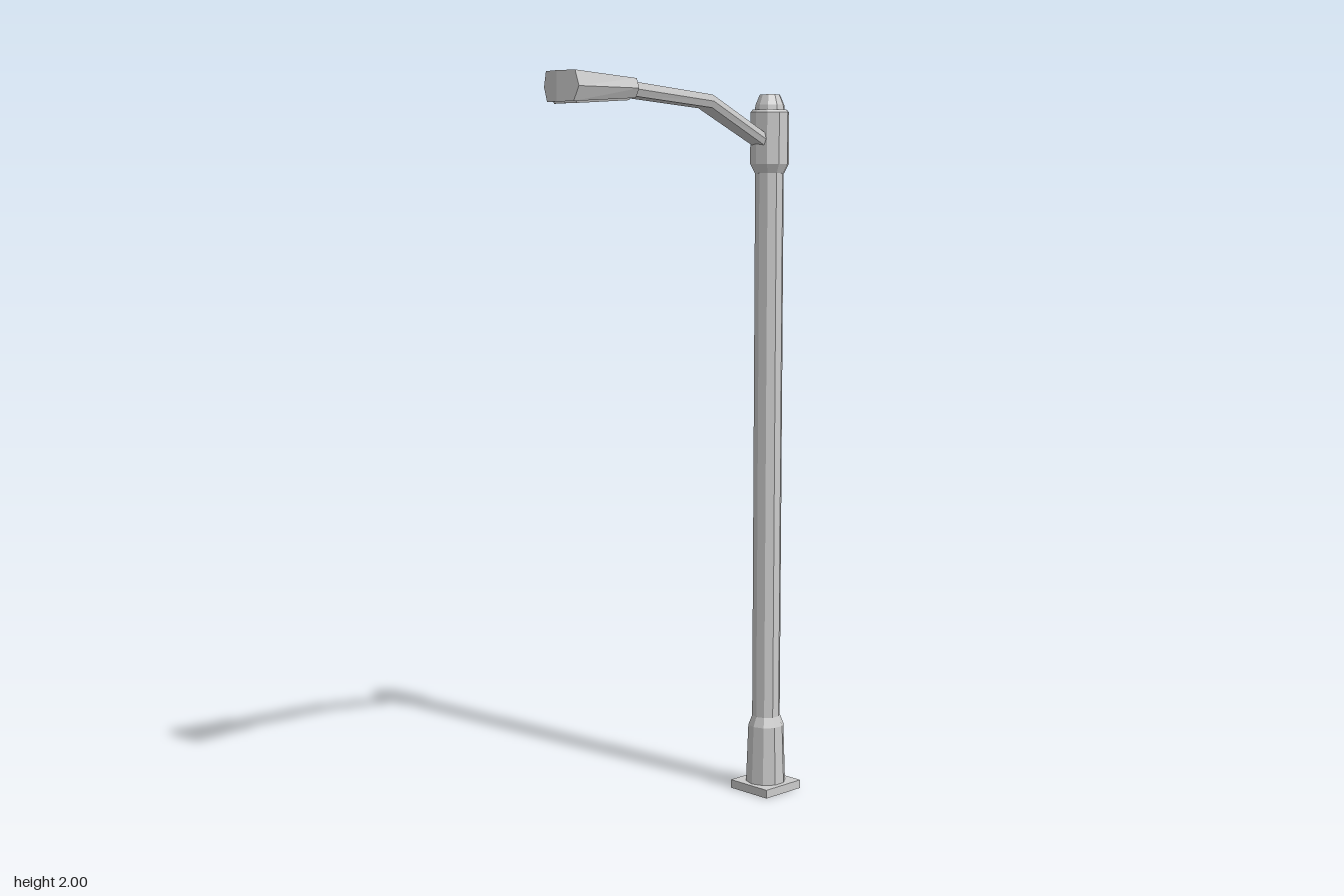
import * as THREE from 'three';

const POLE_Z = -0.35;
const material = new THREE.MeshStandardMaterial({ color: 0xcccccc, flatShading: true, roughness: 0.7 });

function addMesh(parent, name, geometry) {
  const mesh = new THREE.Mesh(geometry, material);
  mesh.name = name;
  parent.add(mesh);
  return mesh;
}

// Ten-sided turned part on the pole axis; profile is [radius, y] from bottom to top
function turned(parent, name, profile) {
  const points = profile.map(([r, y]) => new THREE.Vector2(r, y));
  addMesh(parent, name, new THREE.LatheGeometry(points, 10)).position.z = POLE_Z;
}

// Bevelled bar lofted along z: each section has half widths at top, middle and bottom,
// plus a point that pulls its centre line forward
function loft(sections) {
  const rings = sections.map(({ z, top, mid, bottom, wt, wm, wb, point = 0 }) =>
    [[0, top], [wt, top], [wm, mid], [wb, bottom], [0, bottom], [-wb, bottom], [-wm, mid], [-wt, top]]
      .map(([x, y]) => [x, y, z + point * (1 - Math.abs(x) / wm)]));
  const n = 8, last = rings.length - 1, index = [];
  for (let r = 0; r < last; r++) {
    for (let i = 0; i < n; i++) {
      const j = (i + 1) % n, a = r * n, b = a + n;
      index.push(a + i, b + i, b + j, a + i, b + j, a + j);
    }
  }
  for (let i = 1; i < n - 1; i++) {
    index.push(0, i, i + 1);
    index.push(last * n, last * n + i + 1, last * n + i);
  }
  const geometry = new THREE.BufferGeometry();
  geometry.setAttribute('position', new THREE.Float32BufferAttribute(rings.flat(2), 3));
  geometry.setIndex(index);
  geometry.computeVertexNormals();
  return geometry;
}

export function createModel() {
  const model = new THREE.Group();
  model.name = 'streetLamp';

  // Square foot
  addMesh(model, 'basePlate', new THREE.BoxGeometry(0.14, 0.024, 0.14)).position.set(0, 0.012, POLE_Z);

  // Pole with its base sleeve and top collar
  turned(model, 'baseSleeve', [[0, 0.02], [0.057, 0.02], [0.051, 0.19], [0.039, 0.22], [0, 0.22]]);
  turned(model, 'pole', [[0.04, 0.02], [0.04, 1.78]]);
  turned(model, 'collar', [[0, 1.75], [0.041, 1.75], [0.054, 1.775], [0.054, 1.915], [0.048, 1.922], [0, 1.922]]);
  turned(model, 'cap', [[0.042, 1.92], [0.04, 1.935], [0.028, 1.963], [0, 1.963]]);

  // Bent arm, widening towards the lamp: [z, centre y, half height, half width]
  const armPath = [[-0.34, 1.826, 0.017, 0.028], [-0.1, 1.938, 0.017, 0.033], [0.21, 1.963, 0.018, 0.039]];
  addMesh(model, 'arm', loft(armPath.map(([z, y, h, w]) => (
    { z, top: y + h, mid: y, bottom: y - h, wt: w * 0.87, wm: w, wb: w * 0.8 }))));

  // Lamp head with a pointed nose
  addMesh(model, 'lampHead', loft([
    { z: 0.19, top: 1.987, mid: 1.962, bottom: 1.938, wt: 0.046, wm: 0.055, wb: 0.042 },
    { z: 0.402, top: 2.0, mid: 1.961, bottom: 1.924, wt: 0.055, wm: 0.066, wb: 0.05, point: 0.016 },
  ]));

  // Shallow lens under the head
  addMesh(model, 'lens', loft([
    { z: 0.205, top: 1.945, mid: 1.94, bottom: 1.932, wt: 0.036, wm: 0.037, wb: 0.034 },
    { z: 0.39, top: 1.935, mid: 1.928, bottom: 1.92, wt: 0.044, wm: 0.045, wb: 0.042, point: 0.01 },
  ]));

  return model;
}
